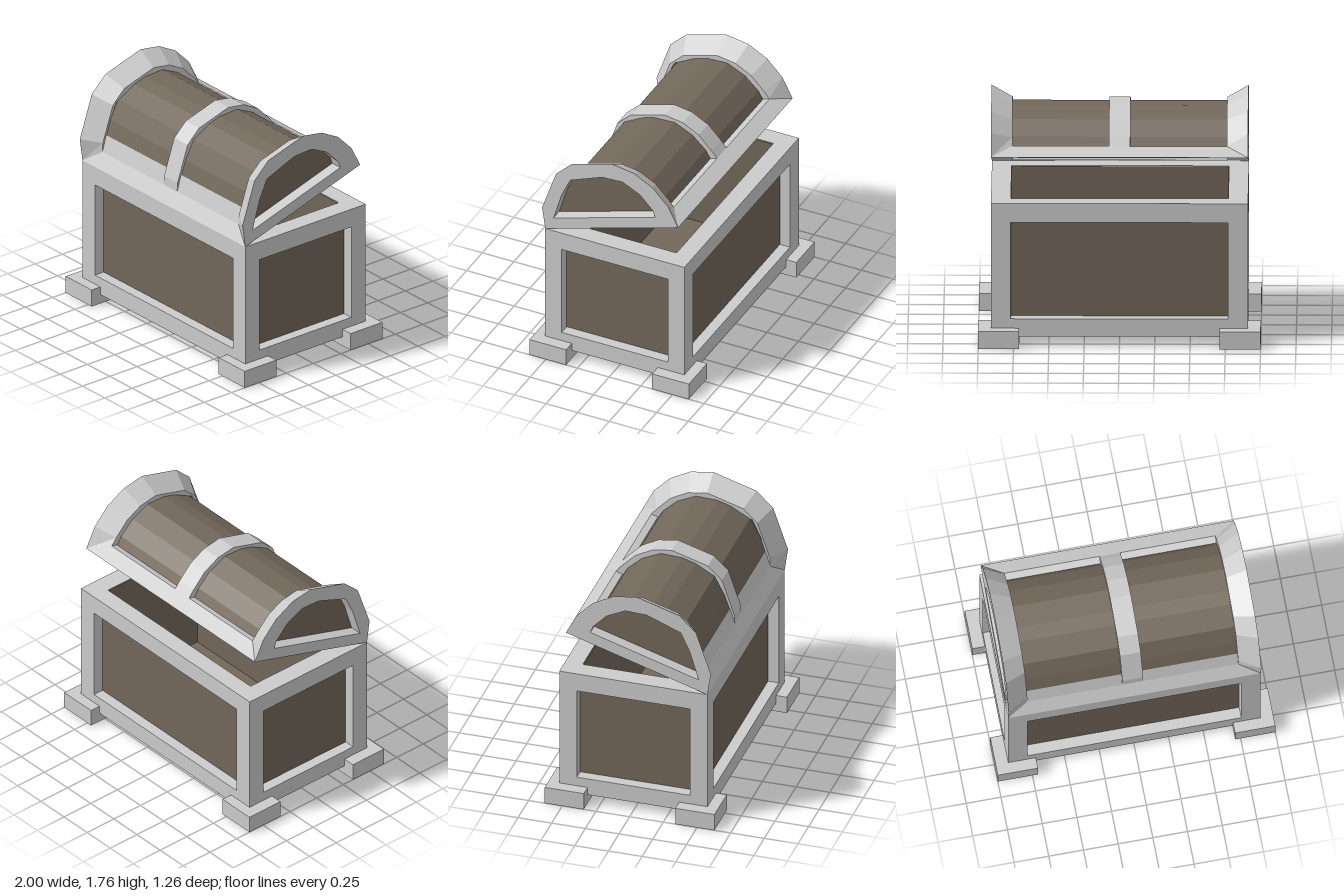
import * as THREE from 'three';

const grey = new THREE.MeshStandardMaterial({ color: 0xcccccc, flatShading: true, side: THREE.DoubleSide });
const brown = new THREE.MeshStandardMaterial({ color: 0x72675a, flatShading: true, side: THREE.DoubleSide });

// Lid profiles: u runs from the hinge to the free edge, v is height above the lid's base
const OUTER = [[0, 0], [0.028, 0.174], [0.228, 0.448], [0.382, 0.525], [0.716, 0.523],
  [0.871, 0.447], [0.991, 0.326], [1.07, 0.172], [1.1, 0]];
const LIP = 0.088, RISE = 0.082;
const INNER = OUTER.map(([u, v], i) =>
  i === 0 ? [LIP, RISE] : i === 8 ? [1.1 - LIP, RISE] : [0.55 + (u - 0.55) * 0.84, v * 0.84]);
const OPENING = [[0.095, 0.086], [0.222, 0.275], [0.33, 0.394], [0.6, 0.416], [0.755, 0.376],
  [0.868, 0.27], [0.933, 0.14], [0.936, 0.086]];
const BARREL = [[0.14, 0.07], [0.152, 0.17], [0.23, 0.275], [0.34, 0.385], [0.5, 0.418], [0.6, 0.418],
  [0.755, 0.378], [0.868, 0.275], [0.94, 0.15], [0.96, 0.07]];

const toPoints = (list) => list.map(([u, v]) => new THREE.Vector2(u, v));

function add(parent, name, geometry, material) {
  const mesh = new THREE.Mesh(geometry, material);
  mesh.name = name;
  parent.add(mesh);
  return mesh;
}

// Box given by its limits on each axis
function box(parent, name, material, [x0, x1], [y0, y1], [z0, z1]) {
  const g = new THREE.BoxGeometry(x1 - x0, y1 - y0, z1 - z0);
  g.translate((x0 + x1) / 2, (y0 + y1) / 2, (z0 + z1) / 2);
  return add(parent, name, g, material);
}

// Extrude a lid profile along x between two limits
function prism(profile, x0, x1, hole) {
  const shape = new THREE.Shape(toPoints(profile));
  if (hole) shape.holes.push(new THREE.Path(toPoints(hole)));
  const g = new THREE.ExtrudeGeometry(shape, { depth: x1 - x0, bevelEnabled: false });
  g.rotateY(Math.PI / 2);
  g.translate(x0, 0, 0);
  return g;
}

// Flared end arch: the outline shrinks towards the middle of the lid
function endArch(s) {
  const g = prism(OUTER, s > 0 ? 0.76 : -0.91, s > 0 ? 0.91 : -0.76, OPENING);
  const p = g.attributes.position;
  for (let i = 0; i < p.count; i++) {
    if (Math.abs(p.getX(i)) > 0.8) continue;
    const k = OUTER.findIndex(([u, v]) => Math.hypot(u + p.getZ(i), v - p.getY(i)) < 1e-4);
    if (k >= 0) p.setXYZ(i, p.getX(i), INNER[k][1], -INNER[k][0]);
  }
  g.computeVertexNormals();
  return g;
}

// Rectangular frame with mitred, sloping outer faces
function lidRim() {
  const sections = [[0.76, 0.14, 0], [0.91, 0, 0], [0.76, LIP, RISE], [0.76, 0.14, RISE]];
  const pos = [], index = [];
  for (const [x, u, v] of sections) {
    pos.push(x, v, -u, x, v, u - 1.1, -x, v, u - 1.1, -x, v, -u);
  }
  for (let s = 0; s < 4; s++) {
    for (let c = 0; c < 4; c++) {
      const a = s * 4 + c, b = s * 4 + (c + 1) % 4;
      const d = ((s + 1) % 4) * 4 + c, e = ((s + 1) % 4) * 4 + (c + 1) % 4;
      index.push(a, b, e, a, e, d);
    }
  }
  const g = new THREE.BufferGeometry();
  g.setAttribute('position', new THREE.Float32BufferAttribute(pos, 3));
  g.setIndex(index);
  const flat = g.toNonIndexed();
  flat.computeVertexNormals();
  return flat;
}

function makeBody() {
  const body = new THREE.Group();
  body.name = 'chestBody';
  const X = 0.91, Z = 0.55, xi = 0.77, zi = 0.42;
  box(body, 'bottomFrame', grey, [-X, X], [0.07, 0.2], [-Z, Z]);
  box(body, 'innerFloor', brown, [-xi, xi], [0.19, 0.205], [-zi, zi]);
  for (const s of [-1, 1]) {
    const span = (a, b) => (s > 0 ? [a, b] : [-b, -a]);
    // top rails and recessed panels
    box(body, 'longTopRail', grey, [-X, X], [0.91, 1.05], span(zi, Z));
    box(body, 'sideTopRail', grey, span(xi, X), [0.91, 1.05], [-zi, zi]);
    box(body, 'longPanel', brown, [-xi - 0.01, xi + 0.01], [0.15, 1.045], span(zi - 0.004, 0.47));
    box(body, 'sidePanel', brown, span(xi - 0.004, 0.83), [0.15, 1.045], [-zi - 0.01, zi + 0.01]);
    for (const t of [-1, 1]) {
      const across = (a, b) => (t > 0 ? [a, b] : [-b, -a]);
      box(body, 'cornerPost', grey, span(xi, X), [0.2, 0.91], across(zi, Z));
      box(body, 'foot', grey, span(0.71, 1), [0, 0.13], across(0.34, 0.63));
    }
  }
  return body;
}

function makeLid() {
  const lid = new THREE.Group();
  lid.name = 'lid';
  add(lid, 'lidRim', lidRim(), grey);
  for (const s of [-1, 1]) {
    add(lid, 'endArch', endArch(s), grey);
    add(lid, 'endPanel', prism(OPENING, s > 0 ? 0.77 : -0.82, s > 0 ? 0.82 : -0.77), brown);
  }
  // curved top as a thin shell
  const shell = BARREL.map(([u, v]) => [0.55 + (u - 0.55) * 0.96, v === 0.07 ? v : v * 0.96]);
  add(lid, 'barrelTop', prism([...BARREL, ...shell.reverse()], -0.775, 0.775), brown);
  // middle strap and the sloping strip above the hinge
  add(lid, 'strap', prism([...INNER, ...[...BARREL].reverse()], -0.075, 0.075), grey);
  add(lid, 'hingeStrip', prism([[LIP, RISE], [0.158, 0.187], [0.158, RISE]], -0.76, 0.76), grey);
  // hinged open
  lid.position.set(0, 1.05, 0.55);
  lid.rotation.x = 0.3;
  return lid;
}

export function createModel() {
  const model = new THREE.Group();
  model.name = 'chest';
  model.add(makeBody(), makeLid());
  return model;
}
